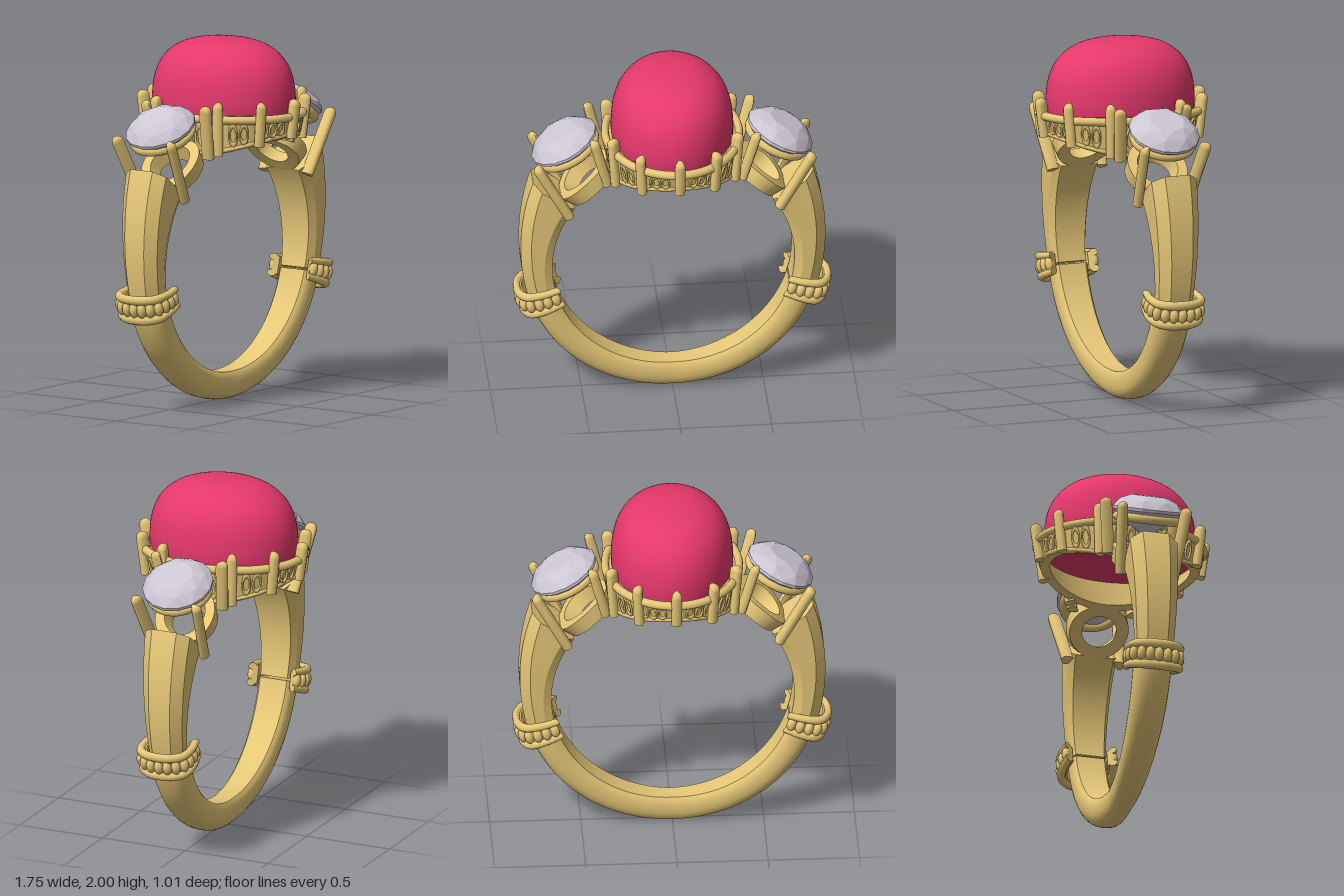
import * as THREE from 'three';
import { toCreasedNormals } from 'three/addons/utils/BufferGeometryUtils.js';
import { ConvexGeometry } from 'three/addons/geometries/ConvexGeometry.js';

const gold = new THREE.MeshStandardMaterial({ color: 0xe6c777 });
const red = new THREE.MeshStandardMaterial({ color: 0xe5386c });
const clear = new THREE.MeshStandardMaterial({ color: 0xcdc6d4, flatShading: true });
const V = (x, y, z) => new THREE.Vector3(x, y, z);
const TAU = Math.PI * 2, CY = 0.82, INNER = 0.665;

// point on the finger circle: angle in degrees, radius, sideways offset
const polar = (deg, r, z) => {
  const a = THREE.MathUtils.degToRad(deg);
  return V(Math.cos(a) * r, CY + Math.sin(a) * r, z);
};
// point on the oval setting
const oval = (a, s, y) => V(0.36 * s * Math.cos(a), y, 0.45 * s * Math.sin(a));
// height of the finger hole under a point at x
const holeY = (x) => CY + Math.sqrt(INNER * INNER - x * x);

function add(parent, name, geometry, material = gold) {
  const mesh = new THREE.Mesh(geometry, material);
  mesh.name = name;
  parent.add(mesh);
  return mesh;
}

// solid skinned over n cross-sections; closed joins last to first, otherwise ends are capped
function loft(section, n, closed, crease = 0.6) {
  const rows = [], tris = [];
  for (let i = 0; i < (closed ? n : n + 1); i++) rows.push(section(i / n));
  const m = rows[0].length;
  for (let i = 0; i < n; i++) {
    const A = rows[i], B = rows[(i + 1) % rows.length];
    for (let j = 0; j < m; j++) {
      const k = (j + 1) % m;
      tris.push([A[j], B[j], B[k]], [A[j], B[k], A[k]]);
    }
  }
  if (!closed) {
    const A = rows[0], B = rows[n];
    for (let j = 1; j < m - 1; j++) tris.push([A[0], A[j], A[j + 1]], [B[0], B[j + 1], B[j]]);
  }
  // turn the faces outward
  const c = V(0, 0, 0);
  let volume = 0;
  for (const [p, q, r] of tris) volume += p.dot(c.crossVectors(q, r));
  const flat = [];
  for (const [p, q, r] of tris)
    for (const v of volume < 0 ? [p, r, q] : [p, q, r]) flat.push(v.x, v.y, v.z);
  const g = new THREE.BufferGeometry();
  g.setAttribute('position', new THREE.Float32BufferAttribute(flat, 3));
  return toCreasedNormals(g, crease);
}

// round-topped claw from a to b, narrowing toward the stone
function prong(parent, name, a, b, radius, outward) {
  const up = b.clone().sub(a), L = up.length();
  const pts = [new THREE.Vector2(0, 0), new THREE.Vector2(radius, 0)];
  for (let i = 0; i <= 5; i++) {
    const t = (i / 5) * Math.PI / 2;
    pts.push(new THREE.Vector2(Math.max(radius * Math.cos(t), 0), L - radius * (1 - Math.sin(t))));
  }
  const g = new THREE.LatheGeometry(pts, 12), p = g.attributes.position;
  for (let i = 0; i < p.count; i++) p.setX(i, p.getX(i) * (0.75 + 0.4 * p.getZ(i) / radius));
  const mesh = add(parent, name, toCreasedNormals(g, 0.8));
  const y = up.normalize(), x = V(0, 0, 0).crossVectors(y, outward).normalize();
  mesh.quaternion.setFromRotationMatrix(
    new THREE.Matrix4().makeBasis(x, y, V(0, 0, 0).crossVectors(x, y)));
  mesh.position.copy(a);
}

// everything on the +x half
function makeSide() {
  const side = new THREE.Group();

  // chamfered shoulder, flaring toward the top
  add(side, 'shoulder', loft((t) => {
    const deg = -15 + 50 * t, R = 0.82 + 0.12 * t * t, w = 0.1 + 0.035 * t;
    const half = [[INNER, 0.8 * w], [0.71, w], [R - 0.055, w], [R, 0.55 * w]];
    const ring = [...half, ...half.map(([r, z]) => [r, -z]).reverse()];
    return ring.map(([r, z]) => polar(deg, r, z));
  }, 20, false, 0.35));

  // U-shaped cuff: core, two rails and a row of beads
  const U = new THREE.CatmullRomCurve3([[0.65, 0.125], [0.74, 0.14], [0.82, 0.125], [0.86, 0.07], [0.87, 0],
    [0.86, -0.07], [0.82, -0.125], [0.74, -0.14], [0.65, -0.125]].map(([r, z]) => V(r, 0, z)));
  const cuffPoint = (t, s, deg) => {
    const p = U.getPointAt(t);
    return polar(deg, 0.74 + (p.x - 0.74) * s, p.z * s);
  };
  add(side, 'cuffCore', loft((t) => [[0.78, -11], [1, -11], [1, -19.5], [0.78, -19.5]]
    .map(([s, d]) => cuffPoint(t, s, d)), 32, false));
  for (const deg of [-11.3, -19.2])
    add(side, 'cuffRail', loft((t) => Array.from({ length: 10 }, (_, j) =>
      cuffPoint(t, 1 + 0.16 * Math.cos(j / 10 * TAU), deg + 1.7 * Math.sin(j / 10 * TAU))), 32, false, 0.9));
  for (let i = 0; i < 13; i++) {
    const bead = add(side, 'cuffBead', new THREE.SphereGeometry(0.026, 12, 8));
    bead.position.copy(cuffPoint((i + 0.5) / 13, 1.02, -15.25));
    bead.rotation.z = THREE.MathUtils.degToRad(-15.25);
    bead.scale.y = 1.6;
  }

  // seat ring bent around the finger hole
  add(side, 'sideSeat', loft((t) => {
    const a = t * TAU;
    return [[0.095, INNER], [0.165, INNER], [0.17, 0.75], [0.115, 0.75]].map(([q, r]) =>
      polar(47.5 + THREE.MathUtils.radToDeg(q * Math.cos(a) / 0.7), r, q * Math.sin(a)));
  }, 36, true));

  // tilted faceted stone with its bearing ring
  const head = new THREE.Group();
  head.name = 'sideStoneHead';
  head.position.set(0.595, 1.575, 0);
  head.rotation.z = -THREE.MathUtils.degToRad(27);
  side.add(head);
  const pts = [V(0, -0.155, 0)];
  for (const [n, r, y, turn] of [[8, 0.1, 0.075, 0], [8, 0.158, 0.048, 0.5], [16, 0.197, 0.004, 0],
    [16, 0.197, -0.012, 0], [8, 0.115, -0.078, 0.5]])
    for (let i = 0; i < n; i++) {
      const a = (i + turn) / n * TAU;
      pts.push(V(r * Math.cos(a), y, r * Math.sin(a)));
    }
  add(head, 'sideStone', new ConvexGeometry(pts), clear);
  const bearing = add(head, 'bearingRing', new THREE.TorusGeometry(0.162, 0.027, 10, 40));
  bearing.rotation.x = Math.PI / 2;
  bearing.position.y = -0.05;

  // claws of the side stone
  for (const k of [1, -1]) {
    prong(side, 'outerClaw', V(0.575, 1.18, 0.145 * k), V(0.76, 1.53, 0.18 * k), 0.034, V(0.6, 0, k));
    prong(side, 'innerClaw', V(0.375, 1.39, 0.165 * k), V(0.455, 1.69, 0.2 * k), 0.034, V(-0.6, 0, k));
  }
  return side;
}

export function createModel() {
  const ring = new THREE.Group();
  ring.name = 'ring';

  // rounded lower band, slimmest at the bottom
  add(ring, 'lowerBand', loft((t) => {
    const deg = -16 - 148 * t;
    const w = 0.07 + 0.037 * Math.abs(Math.cos(THREE.MathUtils.degToRad(deg)));
    return Array.from({ length: 24 }, (_, j) => {
      const c = Math.cos(j / 24 * TAU), s = Math.sin(j / 24 * TAU);
      return polar(deg, Math.max(INNER, 0.73 + 0.09 * Math.sign(s) * Math.abs(s) ** 0.85),
        w * Math.sign(c) * Math.abs(c) ** 0.8);
    });
  }, 56, false));

  // two matching halves
  for (const [name, turn] of [['leftSide', 0], ['rightSide', Math.PI]]) {
    const side = makeSide();
    side.name = name;
    side.rotation.y = turn;
    ring.add(side);
  }

  // domed oval centre stone
  const profile = [[0, 1.55], [0.96, 1.55], [1, 1.62]].map(([r, y]) => new THREE.Vector2(r, y));
  for (let i = 1; i <= 20; i++) {
    const a = i / 20 * Math.PI / 2, e = 2 / 2.75;
    profile.push(new THREE.Vector2(i === 20 ? 0 : Math.cos(a) ** e, 1.62 + 0.38 * Math.sin(a) ** e));
  }
  const dome = new THREE.LatheGeometry(profile, 64);
  dome.scale(0.335, 1, 0.422);
  add(ring, 'centreStone', toCreasedNormals(dome, 0.7), red);

  // oval gallery whose foot follows the finger hole
  const foot = (a, s) => oval(a, s, holeY(0.36 * s * Math.cos(a)));
  add(ring, 'galleryWall', loft((t) => {
    const a = t * TAU;
    return [oval(a, 1.03, 1.6), oval(a, 0.92, 1.6), foot(a, 0.86), foot(a, 0.96)];
  }, 72, true));
  const rail = (name, s, r, centreY) => add(ring, name, loft((t) => Array.from({ length: 10 }, (_, j) => {
    const a = t * TAU, b = j / 10 * TAU;
    return oval(a, s + r / 0.4 * Math.cos(b), centreY(a) + r * Math.sin(b));
  }), 72, true, 0.9));
  rail('upperRail', 1.02, 0.024, () => 1.6);
  rail('lowerRail', 0.955, 0.014, (a) => foot(a, 0.95).y + 0.014);

  // centre claws
  const claws = [26, 57, 90, 123, 154, 206, 237, 270, 303, 334].map(THREE.MathUtils.degToRad);
  for (const a of claws) {
    const out = V(Math.cos(a) / 0.36, 0, Math.sin(a) / 0.45);
    const base = foot(a, 0.99);
    prong(ring, 'centreClaw', base, oval(a, 1.06, 1.7), 0.035, out);
  }

  // oval openings rimmed around the gallery
  for (let i = 0; i < 44; i++) {
    const a = (i + 0.5) / 44 * TAU;
    if (claws.some((c) => Math.abs(c - a) < 0.075)) continue;
    const low = foot(a, 0.96).y + 0.02, eye = add(ring, 'galleryEye', new THREE.TorusGeometry(1, 0.28, 6, 16));
    eye.position.copy(oval(a, 1.0, (low + 1.585) / 2));
    eye.rotation.set(-0.2, Math.atan2(Math.cos(a) / 0.36, Math.sin(a) / 0.45), 0, 'YXZ');
    eye.rotation.x = 0.2;
    eye.scale.set(0.021, (1.585 - low) / 2.5, 0.03);
  }
  return ring;
}
